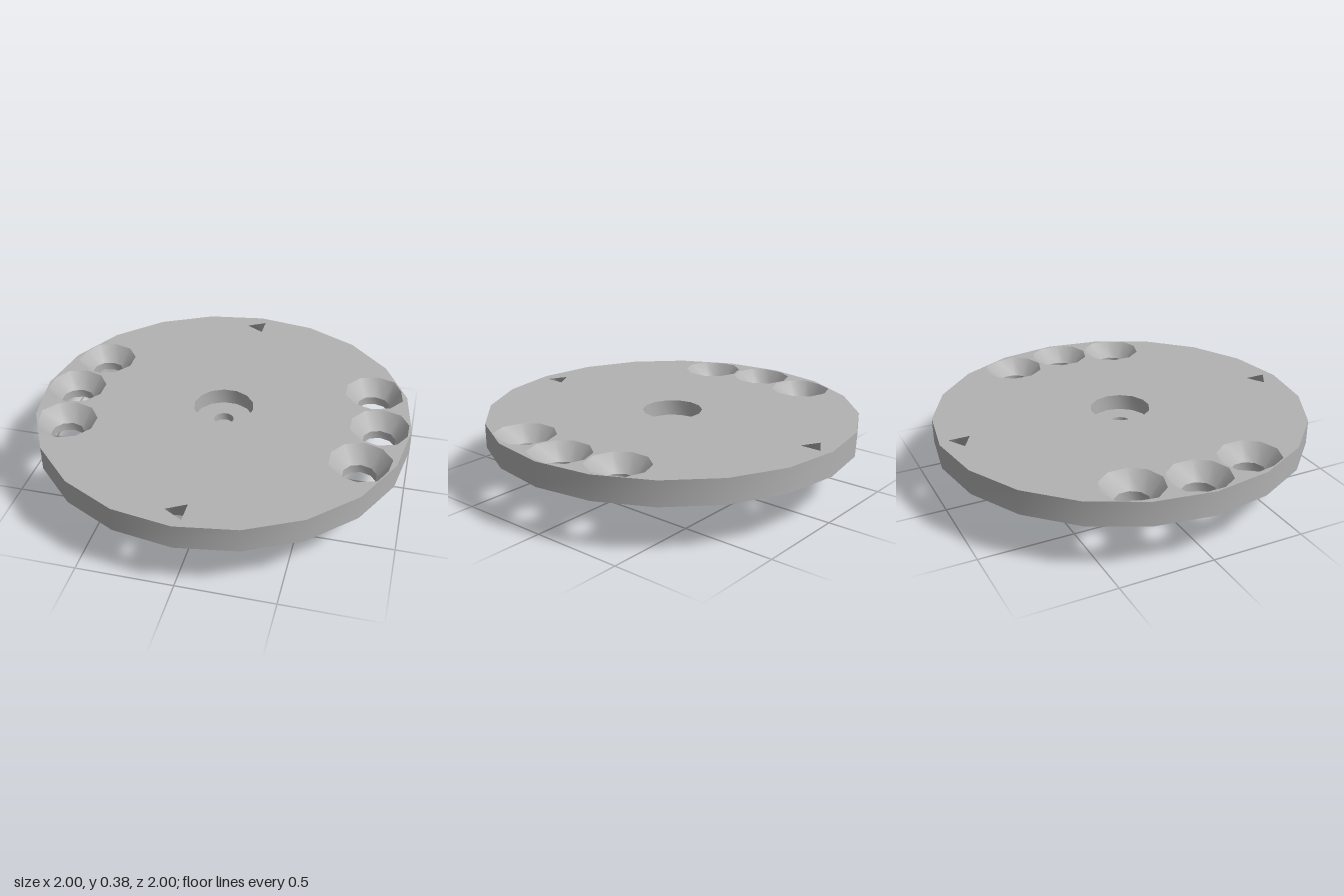
import * as THREE from 'three';

const TOP = 0.375, BOTTOM = 0.245;

// Ring of [x, z] points; anything near the rim is pulled just inside it
function ring(cx, cz, r, n, phase = 0, limit = 0.984) {
  return Array.from({ length: n }, (_, i) => {
    const a = phase + (i / n) * Math.PI * 2;
    const rad = typeof r === 'function' ? r(a) : r;
    const x = cx + Math.cos(a) * rad, z = cz + Math.sin(a) * rad;
    const k = Math.min(1, limit / Math.hypot(x, z));
    return [x * k, z * k];
  });
}

// Radius of a triangle outline with corners at 60, 180 and 300 degrees
const triangle = (size) => (a) => {
  const third = (Math.PI * 2) / 3;
  const t = (a - Math.PI / 3 + Math.PI * 4) % third;
  return (size * 0.5) / Math.cos(t - third / 2);
};

// Smooth wall between an upper and a lower ring
function wall(upper, yU, lower, yL, inward) {
  const n = upper.length, pos = [], idx = [];
  upper.forEach(([x, z]) => pos.push(x, yU, z));
  lower.forEach(([x, z]) => pos.push(x, yL, z));
  for (let i = 0; i < n; i++) {
    const j = (i + 1) % n;
    if (inward) idx.push(n + i, n + j, i, i, n + j, j);
    else idx.push(n + i, i, n + j, i, j, n + j);
  }
  const g = new THREE.BufferGeometry();
  g.setAttribute('position', new THREE.Float32BufferAttribute(pos, 3));
  g.setIndex(idx);
  g.computeVertexNormals();
  return g;
}

// Flat horizontal face with holes, facing up or down
function face(outline, holes, y, up) {
  const s = up ? -1 : 1;
  const to2 = (pts) => pts.map(([x, z]) => new THREE.Vector2(x, s * z));
  const shape = new THREE.Shape(to2(outline));
  holes.forEach((h) => shape.holes.push(new THREE.Path(to2(h))));
  const g = new THREE.ShapeGeometry(shape);
  g.rotateX((s * Math.PI) / 2);
  g.translate(0, y, 0);
  return g;
}

export function createModel() {
  const model = new THREE.Group();
  const grey = new THREE.MeshStandardMaterial({ color: 0xb2b2b2 });
  grey.name = 'grey';
  const add = (name, geometry) => {
    const mesh = new THREE.Mesh(geometry, grey);
    mesh.name = name;
    model.add(mesh);
  };

  const topHoles = [], bottomHoles = [];

  // Three countersunk through-holes on each side
  for (const side of [-1, 1]) {
    for (const [x, z] of [[0.775, -0.32], [0.84, 0], [0.775, 0.32]]) {
      const mouth = ring(side * x, z, 0.163, 10, 0.3);
      const bore = ring(side * x, z, 0.088, 10, 0.3);
      topHoles.push(mouth);
      bottomHoles.push(bore);
      add('countersink', wall(mouth, TOP, bore, 0.29, true));
      add('screwBore', wall(bore, 0.29, bore, BOTTOM, true));
    }
  }

  // Conical holes from below that break through the top as triangles
  for (const z of [-0.89, 0.89]) {
    const tip = ring(0, z, triangle(0.065), 12);
    const mouth = ring(0, z, 0.125, 12);
    topHoles.push(tip);
    bottomHoles.push(mouth);
    add('endCone', wall(tip, TOP, mouth, BOTTOM, true));
  }

  // Three blind conical holes around the centre
  for (let i = 0; i < 3; i++) {
    const a = -Math.PI / 2 + (i * Math.PI * 2) / 3;
    const x = Math.cos(a) * 0.3, z = Math.sin(a) * 0.3;
    const mouth = ring(x, z, 0.098, 12), tip = ring(x, z, 0.015, 12);
    bottomHoles.push(mouth);
    add('blindCone', wall(tip, 0.34, mouth, BOTTOM, true));
    add('blindConeEnd', face(tip, [], 0.34, false));
  }

  // Central recesses above and below a thin web
  const recess = ring(0, 0, 0.16, 14), flare = ring(0, 0, 0.198, 14);
  const pinRing = ring(0, 0, 0.053, 14);
  topHoles.push(recess);
  bottomHoles.push(flare);
  add('topRecessWall', wall(recess, TOP, recess, 0.291, true));
  add('topRecessFloor', face(recess, [pinRing], 0.291, true));
  add('bottomRecessWall', wall(recess, 0.284, flare, BOTTOM, true));
  add('bottomRecessFloor', face(recess, [pinRing], 0.284, false));

  // Centre pin with a shallow socket in its top
  add('pin', wall(pinRing, 0.284, pinRing, 0, false));
  add('pinEnd', face(pinRing, [], 0, false));
  add('pinSocket', wall(pinRing, 0.291, pinRing, 0.25, true));
  add('pinSocketFloor', face(pinRing, [], 0.25, true));

  // Disc
  const rim = ring(0, 0, 1, 20, 0, 1);
  add('discTop', face(rim, topHoles, TOP, true));
  add('discBottom', face(rim, bottomHoles, BOTTOM, false));
  add('discRim', wall(rim, TOP, rim, BOTTOM, false));

  return model;
}
